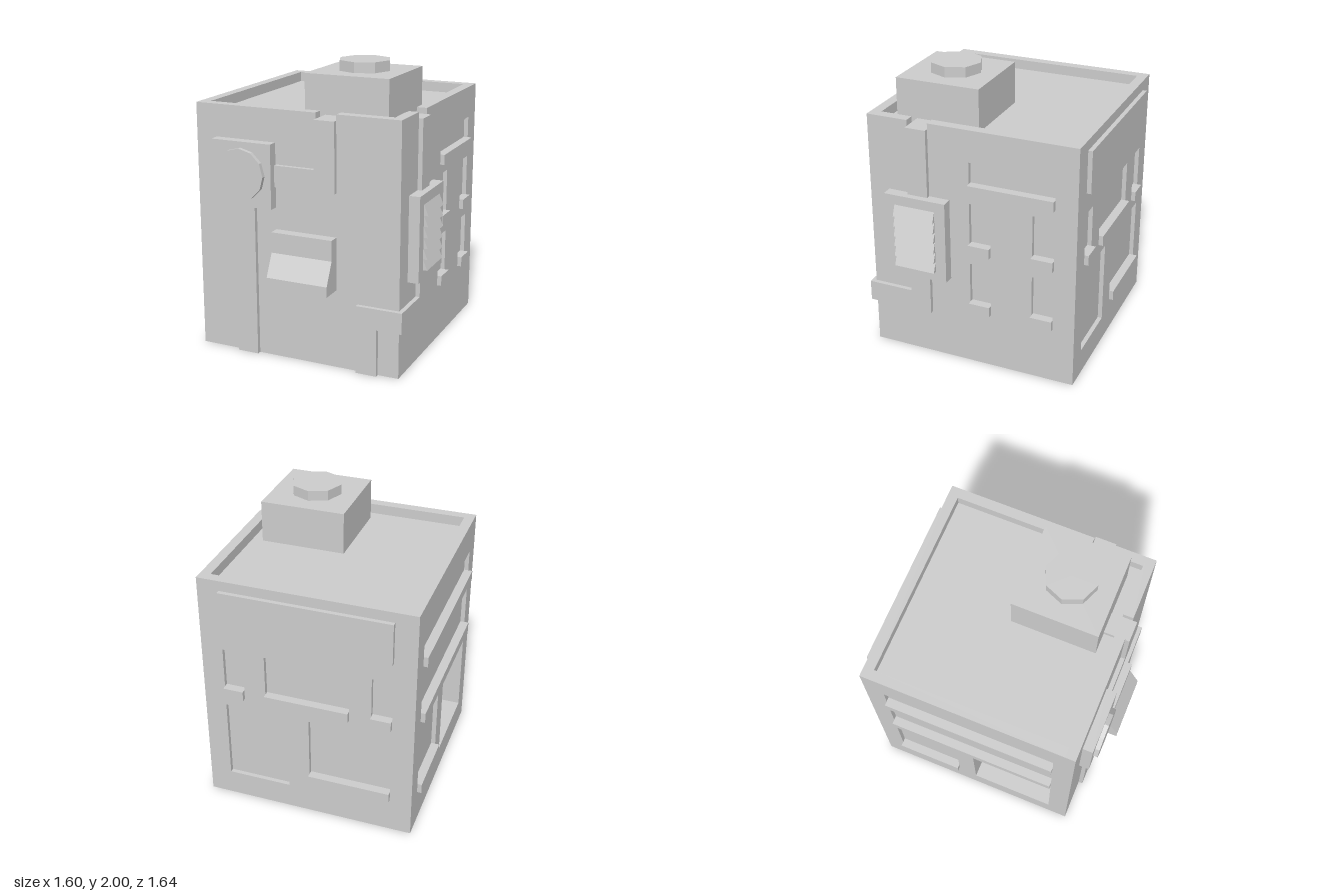
import * as THREE from 'three';

const mat = new THREE.MeshStandardMaterial({ color: 0xcccccc, flatShading: true, side: THREE.DoubleSide });

// Body extents
const X0 = -0.77, X1 = 0.69, Z0 = -0.79, Z1 = 0.67, ROOF = 1.64, TOP = 1.71, RIM = 0.07, T = 0.03;

function add(parent, name, geo) {
  const m = new THREE.Mesh(geo, mat);
  m.name = name;
  parent.add(m);
  return m;
}

function box(parent, name, x0, x1, y0, y1, z0, z1) {
  const g = new THREE.BoxGeometry(x1 - x0, y1 - y0, z1 - z0);
  g.translate((x0 + x1) / 2, (y0 + y1) / 2, (z0 + z1) / 2);
  return add(parent, name, g);
}

// Prism with a (z, y) profile running along local x from a to b
function prism(parent, name, pts, a, b) {
  const s = new THREE.Shape(pts.map(([z, y]) => new THREE.Vector2(-z, y)));
  const g = new THREE.ExtrudeGeometry(s, { depth: b - a, bevelEnabled: false });
  g.rotateY(Math.PI / 2).translate(a, 0, 0);
  return add(parent, name, g);
}

// Thin wall facing local +z at distance d, with recessed openings [u0, u1, y0, y1, depth, hasSill]
function wall(parent, name, angle, d, u0, u1, openings) {
  const group = new THREE.Group();
  group.name = name;
  group.rotation.y = angle;
  parent.add(group);
  const rect = (C, a, b, c, e) => new C([[a, c], [b, c], [b, e], [a, e]].map(p => new THREE.Vector2(...p)));
  const shape = rect(THREE.Shape, u0, u1, 0, ROOF);
  for (const [a, b, c, e, depth, sill] of openings) {
    shape.holes.push(rect(THREE.Path, a, b, c, e));
    const g = new THREE.BoxGeometry(b - a, e - c, depth);
    const idx = Array.from(g.index.array);
    idx.splice(24, 6); // leave the outer side open
    g.setIndex(idx);
    g.clearGroups();
    g.translate((a + b) / 2, (c + e) / 2, d - depth / 2);
    add(group, 'recess', g);
    if (sill) box(group, 'sill', a, b, c - 0.07, c, d - T, d + T);
  }
  add(group, 'wallPanel', new THREE.ShapeGeometry(shape).translate(0, 0, d));
  return group;
}

export function createModel() {
  const model = new THREE.Group();
  model.name = 'building';

  // Walls
  wall(model, 'frontWall', 0, Z1, X0, X1, []);
  const right = wall(model, 'rightWall', Math.PI / 2, X1, -Z1, -Z0, [
    [0.05, 0.64, 1.34, 1.49, T, true],
    [0.05, 0.20, 0.91, 1.20, T, true], [0.49, 0.64, 0.91, 1.20, T, true],
    [0.05, 0.20, 0.47, 0.76, T, true], [0.49, 0.64, 0.47, 0.76, T, true],
  ]);
  const back = wall(model, 'backWall', Math.PI, -Z0, -X1, -X0, [
    [-0.54, -0.40, 0.91, 1.20, T, true], [-0.25, 0.33, 0.91, 1.20, T, true], [0.48, 0.62, 0.91, 1.20, T, true],
    [-0.54, -0.10, 0.18, 0.76, T, false], [0.05, 0.62, 0.32, 0.76, T, true],
  ]);
  wall(model, 'leftWall', -Math.PI / 2, -X0, Z0, Z1, [
    [-0.65, 0.53, 1.34, 1.49, T, true], [-0.65, 0.53, 0.91, 1.20, T, true],
    [-0.65, -0.19, 0.32, 0.76, T, true], [-0.06, 0.53, 0.18, 0.76, 0.16, false],
  ]);
  box(back, 'signPanel', -0.54, 0.62, 1.35, 1.64, -Z0, -Z0 + T);

  // Roof and parapet, with gaps where the ducts pass through
  const roof = new THREE.PlaneGeometry(X1 - X0, Z1 - Z0).rotateX(-Math.PI / 2);
  add(model, 'roof', roof.translate((X0 + X1) / 2, ROOF, (Z0 + Z1) / 2));
  for (const [a, b, c, d] of [
    [X0, 0.105, Z1 - RIM, Z1], [0.25, X1, Z1 - RIM, Z1], [X0, X1, Z0, Z0 + RIM],
    [X0, X0 + RIM, Z0 + RIM, Z1 - RIM],
    [X1 - RIM, X1, Z0 + RIM, 0.235], [X1 - RIM, X1, 0.38, Z1 - RIM],
  ]) box(model, 'parapet', a, b, ROOF, TOP, c, d);

  // Rooftop unit with octagonal cap
  box(model, 'roofUnit', -0.04, 0.545, ROOF, 1.93, -0.06, 0.525);
  add(model, 'roofUnitCap', new THREE.CylinderGeometry(0.175, 0.175, 0.07, 8).translate(0.253, 1.965, 0.232));

  // Ducts: front run, right run wrapping the corner, and the fan's downpipe
  const F = Z1 + T, R = X1 + T;
  for (const d of [
    [0.105, 0.25, ROOF, 1.67, 0.525, F], [0.105, 0.25, 1.20, ROOF, Z1, F], [-0.18, 0.105, 1.20, 1.345, Z1, F],
    [0.545, R, ROOF, 1.67, 0.235, 0.38], [X1, R, 0.47, ROOF, 0.235, 0.38], [X1, R, 0.325, 0.47, 0.235, F],
    [0.40, X1, 0.325, 0.47, Z1, F], [0.40, 0.545, 0, 0.325, Z1, F],
    [-0.48, -0.33, 0, 1.055, Z1, F],
  ]) box(model, 'duct', ...d);

  // Fan box on the front
  box(model, 'fanBox', -0.62, -0.185, 1.055, 1.49, Z1, 0.74);
  add(model, 'fanDisc', new THREE.CylinderGeometry(0.175, 0.175, T, 12).rotateX(Math.PI / 2).translate(-0.403, 1.275, 0.755));

  // Sloped hood on the front
  prism(model, 'hood', [[Z1, 0.545], [0.82, 0.545], [0.82, 0.615], [0.745, 0.765], [0.745, 0.905], [Z1, 0.905]], -0.185, 0.25);

  // Louvred vent on the right
  box(right, 'ventBox', -0.53, -0.09, 0.62, 1.20, X1, 0.765);
  for (let i = 0; i < 6; i++) {
    const y = 0.69 + i * 0.0735;
    prism(right, 'ventSlat', [[0.765, y], [0.795, y], [0.765, y + 0.0735]], -0.455, -0.165);
  }
  return model;
}
